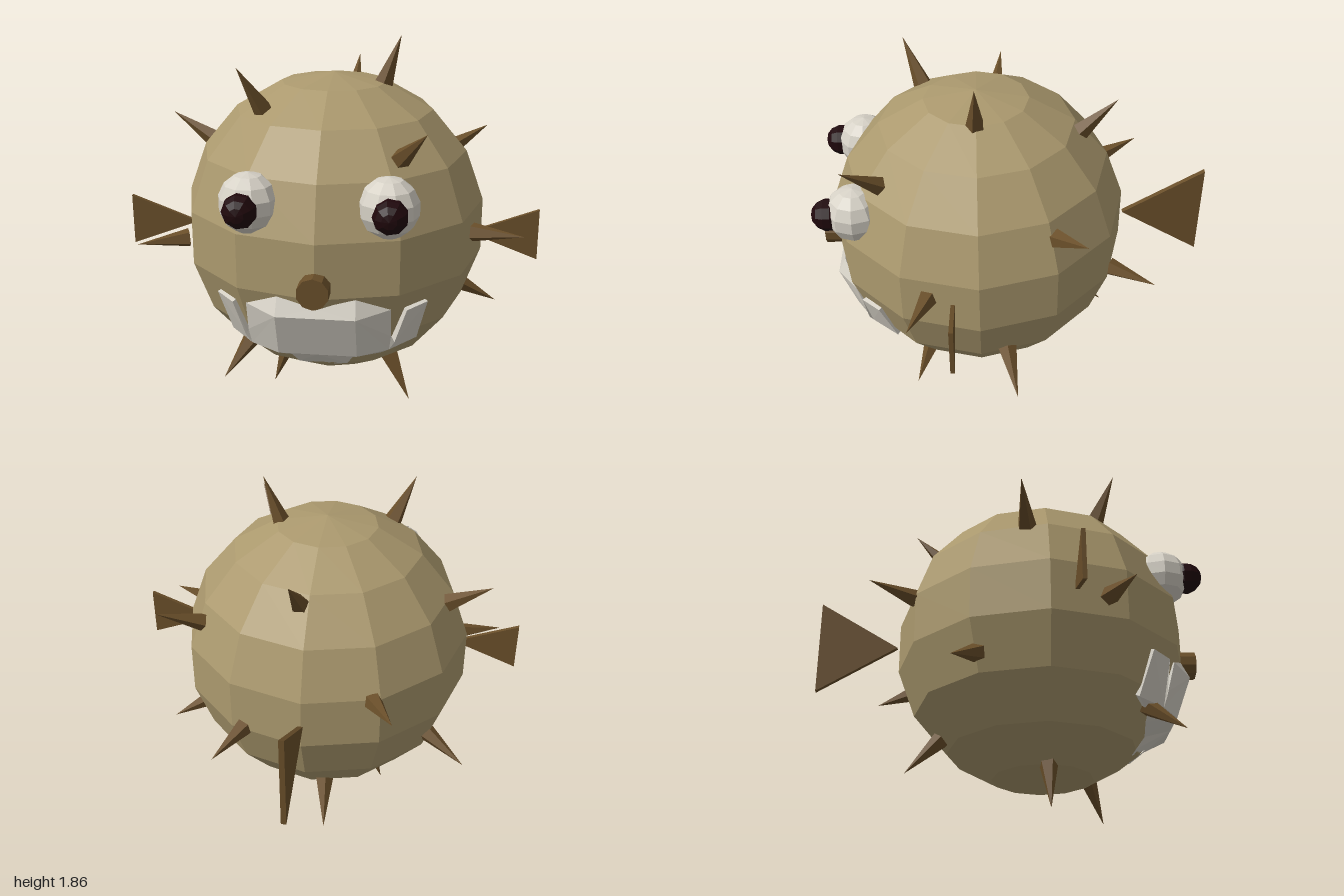
import * as THREE from 'three';

const paint = (name, color, side = THREE.FrontSide) => {
  const m = new THREE.MeshStandardMaterial({ color, flatShading: true, side });
  m.name = name;
  return m;
};

export function createModel() {
  const group = new THREE.Group();
  const skin = paint('sandSkin', 0xab996e);
  const brown = paint('finBrown', 0x6a4f2a);
  const white = paint('boneWhite', 0xd6d1c6, THREE.DoubleSide);
  const dark = paint('pupilDark', 0x1f070b);
  const centre = new THREE.Vector3(0, 0.935, 0.175);
  const R = 0.745;

  const add = (name, geo, mat, x = 0, y = 0, z = 0) => {
    const mesh = new THREE.Mesh(geo, mat);
    mesh.name = name;
    mesh.position.set(x, y, z);
    group.add(mesh);
    return mesh;
  };

  // Round faceted body
  add('body', new THREE.SphereGeometry(R, 12, 9), skin, ...centre.toArray());

  // Eyes and pupils
  for (const s of [-1, 1]) {
    add('eye', new THREE.SphereGeometry(0.14, 10, 7), white, s * 0.31, 1.2, 0.765);
    add('pupil', new THREE.SphereGeometry(0.08, 9, 7), dark, s * 0.325, 1.2, 0.89).rotation.x = Math.PI / 2;
  }

  // Short round nose
  add('nose', new THREE.CylinderGeometry(0.073, 0.073, 0.12, 10), brown, 0, 0.86, 0.912).rotation.x = Math.PI / 2;

  // Triangular fins: apex at the origin, widening along +x
  const fin = (length, half, thick) => {
    const shape = new THREE.Shape();
    shape.moveTo(0, 0);
    shape.lineTo(length, -half);
    shape.lineTo(length, half);
    return new THREE.ExtrudeGeometry(shape, { depth: thick, bevelEnabled: false }).translate(0, 0, -thick / 2);
  };
  add('leftFin', fin(0.33, 0.125, 0.02), brown, 0.67, 0.935, 0.3);
  add('rightFin', fin(0.33, 0.125, 0.02), brown, -0.67, 0.935, 0.3).rotation.y = Math.PI;
  add('tailFin', fin(0.405, 0.247, 0.026), brown, 0, 0.938, -0.57).rotation.y = Math.PI / 2;

  // Spikes point straight out from the body centre; each entry is a tip
  const tips = [
    [0.32, 1.86, 0.18], [-0.4, 1.755, 0.54], [0.47, 1.535, 0.79], [0.06, 1.65, -0.5],
    [0.76, 1.32, -0.31], [-0.84, 1.43, 0.04], [-0.444, 1.097, -0.684], [0.41, 0.78, -0.7],
    [0.92, 0.99, 0.5], [-0.91, 0.888, 0.54], [0.83, 0.45, 0.0], [-0.78, 0.556, -0.27],
    [-0.44, 0.35, 0.815], [-0.32, 0.005, 0.19], [0.41, 0.123, 0.52], [-0.1, 0.23, -0.5],
  ];
  const cone = new THREE.ConeGeometry(0.047, 0.25, 5).translate(0, -0.125, 0);
  const up = new THREE.Vector3(0, 1, 0);
  for (const t of tips) {
    const dir = new THREE.Vector3(...t).sub(centre).normalize();
    add('spike', cone, brown, ...t).quaternion.setFromUnitVectors(up, dir);
  }

  // Mouth plate: half of it as corner points and faces, mirrored across x
  const p = [
    [0, 0.755, 0.885], [0.176, 0.798, 0.865], [0.33, 0.73, 0.8], [0, 0.715, 0.905],
    [0.18, 0.715, 0.905], [0.33, 0.58, 0.76], [0, 0.5, 0.825], [0.18, 0.5, 0.825],
    [0.32, 0.5, 0.735], [0, 0.396, 0.69], [0.06, 0.345, 0.61], [0.115, 0.36, 0.625],
    [0.145, 0.413, 0.665], [0.28, 0.44, 0.65], [0.345, 0.545, 0.75], [0.4, 0.715, 0.765],
    [0.49, 0.725, 0.675], [0.44, 0.505, 0.6], [0.32, 0.47, 0.655],
  ].map((a) => new THREE.Vector3(...a));
  const faces = [
    [0, 3, 4, 1], [1, 4, 2], [3, 6, 7, 4], [4, 7, 8, 5, 2], [6, 9, 10, 11], [6, 11, 12, 7],
    [7, 12, 13, 8], [8, 17, 16, 15, 14], [8, 14, 5], [8, 13, 18, 17],
  ].map((f) => f.map((i) => p[i]));
  // Rim of the cheek runs back into the body
  const rim = [2, 5, 14, 15, 16, 17, 18].map((i) => p[i]);
  const inward = (v) => v.clone().lerp(centre, 0.12);
  for (let i = 0; i < rim.length - 1; i++) {
    faces.push([rim[i + 1], rim[i], inward(rim[i]), inward(rim[i + 1])]);
  }
  const pos = [];
  for (const s of [1, -1]) {
    for (const f of faces) {
      for (let i = 1; i < f.length - 1; i++) {
        const tri = s > 0 ? [f[0], f[i], f[i + 1]] : [f[0], f[i + 1], f[i]];
        tri.forEach((v) => pos.push(s * v.x, v.y, v.z));
      }
    }
  }
  const mouth = new THREE.BufferGeometry();
  mouth.setAttribute('position', new THREE.Float32BufferAttribute(pos, 3));
  mouth.computeVertexNormals();
  add('mouth', mouth, white);

  return group;
}
